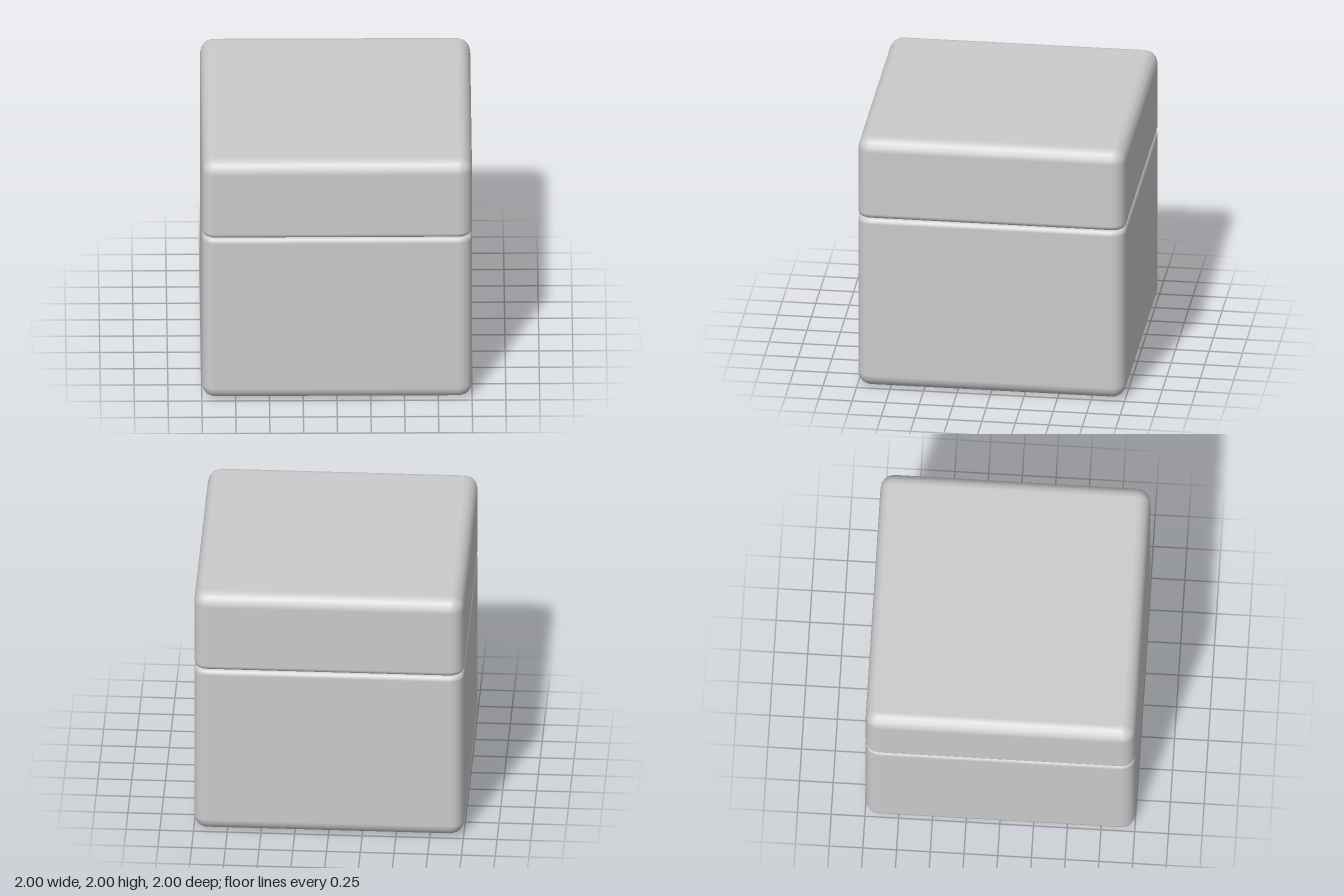
import * as THREE from 'three';

const HALF = 1, EDGE = 0.1, SEAM_EDGE = 0.04, SEAM_Y = 1.365, STEPS = 4;

// Rounded-square block from y0 to y1, with its own edge radius at bottom and top
function roundedBlock(y0, y1, bottomRadius, topRadius) {
  // Profile from bottom to top: corner radius, height, outward and upward normal
  const profile = [];
  const arc = (radius, centreY, from) => {
    for (let s = 0; s <= STEPS; s++) {
      const a = from + (s / STEPS) * Math.PI / 2;
      const out = Math.cos(a), up = Math.sin(a);
      profile.push([EDGE - radius + radius * out, centreY + radius * up, out, up]);
    }
  };
  arc(bottomRadius, y0 + bottomRadius, -Math.PI / 2);
  arc(topRadius, y1 - topRadius, 0);

  // One loop per profile point, with four rounded corners
  const position = [], normal = [], index = [];
  const core = HALF - EDGE, ring = 4 * (STEPS + 1);
  for (const [r, y, out, up] of profile) {
    for (let q = 0; q < 4; q++) {
      const mid = (q + 0.5) * Math.PI / 2;
      const cx = core * Math.sign(Math.cos(mid)), cz = core * Math.sign(Math.sin(mid));
      for (let s = 0; s <= STEPS; s++) {
        const a = (q + s / STEPS) * Math.PI / 2;
        position.push(cx + r * Math.cos(a), y, cz + r * Math.sin(a));
        normal.push(out * Math.cos(a), up, out * Math.sin(a));
      }
    }
  }
  for (let j = 0; j < profile.length - 1; j++) {
    for (let i = 0; i < ring; i++) {
      const a = j * ring + i, b = j * ring + (i + 1) % ring;
      index.push(a, a + ring, b, b, a + ring, b + ring);
    }
  }

  // Flat caps
  const bottom = profile.length * ring, top = bottom + 1, last = bottom - ring;
  position.push(0, y0, 0, 0, y1, 0);
  normal.push(0, -1, 0, 0, 1, 0);
  for (let i = 0; i < ring; i++) {
    const n = (i + 1) % ring;
    index.push(bottom, i, n, top, last + n, last + i);
  }

  const geometry = new THREE.BufferGeometry();
  geometry.setAttribute('position', new THREE.Float32BufferAttribute(position, 3));
  geometry.setAttribute('normal', new THREE.Float32BufferAttribute(normal, 3));
  geometry.setIndex(index);
  return geometry;
}

export function createModel() {
  const group = new THREE.Group();
  group.name = 'liddedBox';
  const material = new THREE.MeshStandardMaterial({ color: 0xcccccc });
  const add = (name, geometry) => {
    const mesh = new THREE.Mesh(geometry, material);
    mesh.name = name;
    group.add(mesh);
  };

  // Box body and lid meet in a rounded groove
  add('body', roundedBlock(0, SEAM_Y, EDGE, SEAM_EDGE));
  add('lid', roundedBlock(SEAM_Y, 2, SEAM_EDGE, EDGE));
  return group;
}
